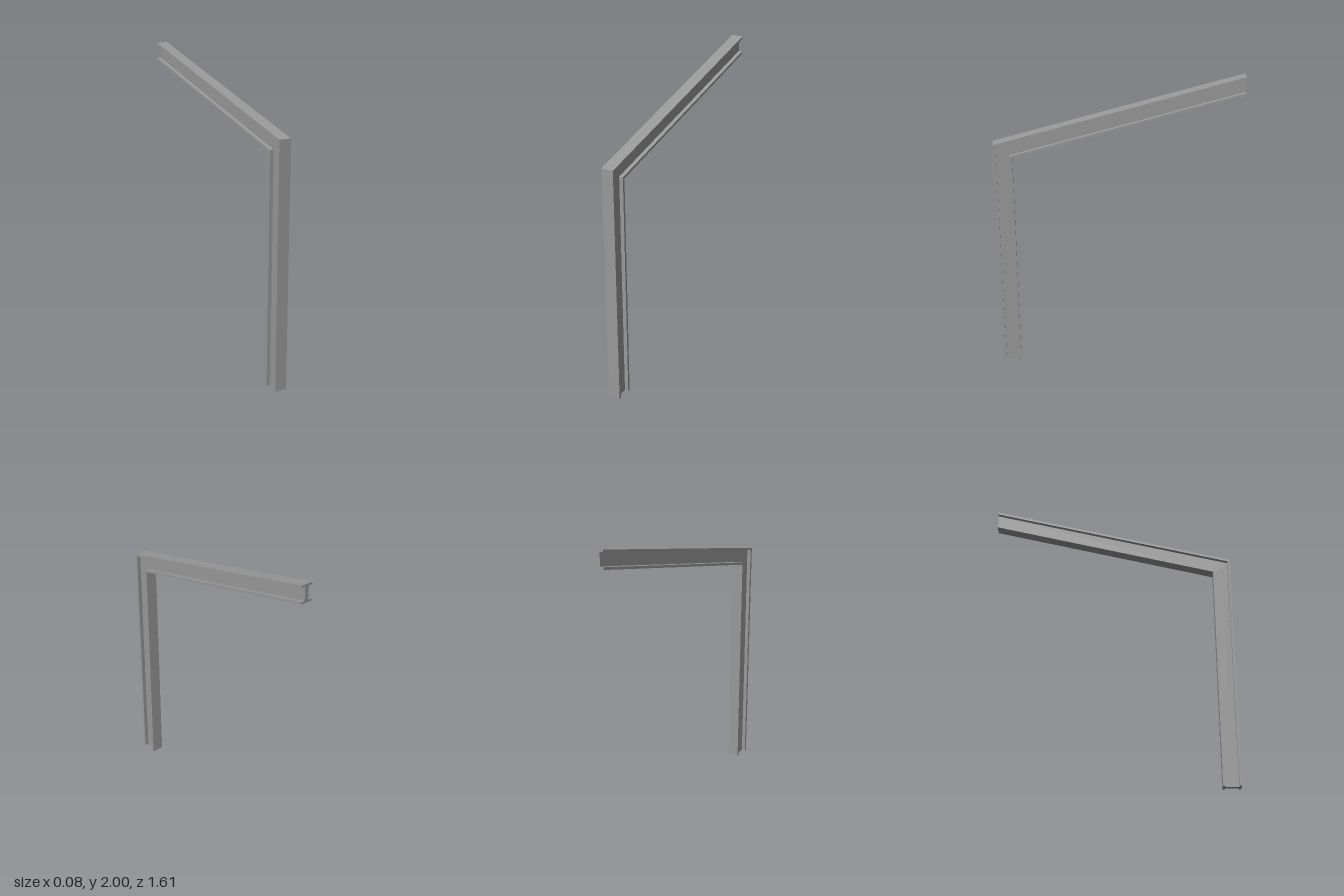
import * as THREE from 'three';

const HALF_RUN = 0.803; // half the length along z
const KNEE_Y = 1.602;   // outer corner height
const TOP_Y = 2;
const DEPTH = 0.118;    // section depth
const FLANGE = 0.016;   // flange thickness
const HALF_W = 0.04;    // half flange width
const HALF_WEB = 0.014; // half web thickness

// I-section outline, counter-clockwise: x across, y = distance inward from the outer face
function iSection() {
  const half = [
    [HALF_W, 0], [HALF_W, FLANGE], [HALF_WEB, FLANGE],
    [HALF_WEB, DEPTH - FLANGE], [HALF_W, DEPTH - FLANGE], [HALF_W, DEPTH],
  ];
  const mirrored = half.map(([x, d]) => [-x, d]).reverse();
  return [...half, ...mirrored].map(([x, d]) => new THREE.Vector2(x, d));
}

export function createModel() {
  const group = new THREE.Group();
  group.name = 'portalFrame';

  const slope = (TOP_Y - KNEE_Y) / (2 * HALF_RUN);
  const drop = Math.hypot(1, slope); // vertical drop per unit of inward offset
  const section = iSection();

  // Rings of the section at the base, the mitred knee and the plumb-cut rafter end
  const base = section.map(({ x, y: d }) => [x, 0, HALF_RUN - d]);
  const knee = section.map(({ x, y: d }) => [x, KNEE_Y + slope * d - drop * d, HALF_RUN - d]);
  const tip = section.map(({ x, y: d }) => [x, TOP_Y - drop * d, -HALF_RUN]);

  const caps = THREE.ShapeUtils.triangulateShape(section, []);
  const material = new THREE.MeshStandardMaterial({ color: 0x999999, flatShading: true });

  // Skin between two rings, closed at one free end
  function addMember(name, from, to, capStart) {
    const pos = [];
    const tri = (...corners) => corners.forEach((p) => pos.push(...p));
    for (let i = 0; i < from.length; i++) {
      const j = (i + 1) % from.length;
      tri(from[i], from[j], to[j]);
      tri(from[i], to[j], to[i]);
    }
    for (const [a, b, c] of caps) {
      if (capStart) tri(from[a], from[c], from[b]);
      else tri(to[a], to[b], to[c]);
    }
    const geometry = new THREE.BufferGeometry();
    geometry.setAttribute('position', new THREE.Float32BufferAttribute(pos, 3));
    geometry.computeVertexNormals();
    const mesh = new THREE.Mesh(geometry, material);
    mesh.name = name;
    group.add(mesh);
  }

  addMember('column', base, knee, true);
  addMember('rafter', knee, tip, false);
  return group;
}
